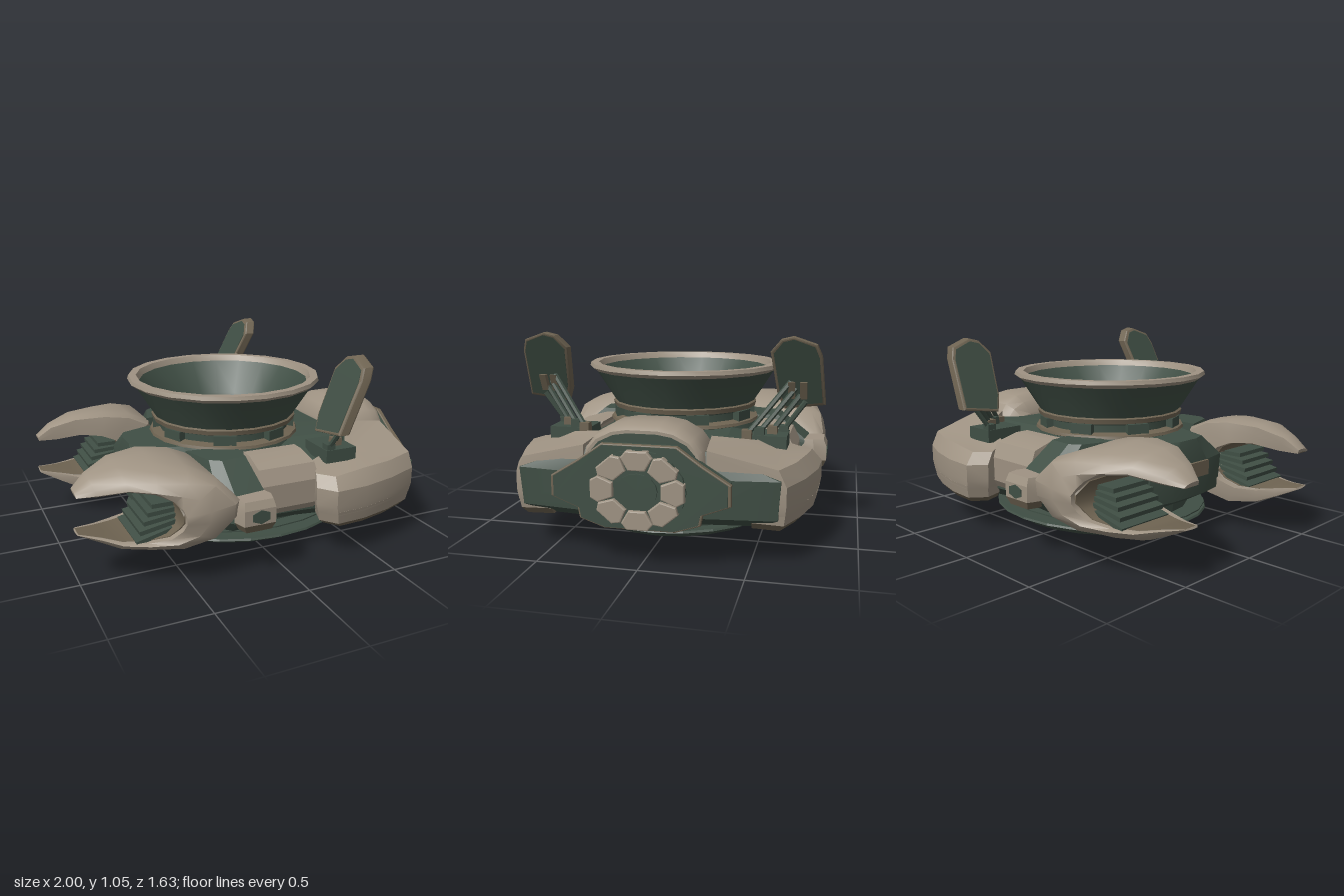
import * as THREE from 'three';
import { toCreasedNormals } from 'three/addons/utils/BufferGeometryUtils.js';

const mat = (name, color) => Object.assign(new THREE.MeshStandardMaterial({ color }), { name });

export function createModel() {
  const model = new THREE.Group();
  model.name = 'crabShip';
  const green = mat('dark green', 0x404f45);
  const tan = mat('tan armour', 0x9f9383);
  const brown = mat('worn brown', 0x6f6452);

  const add = (parent, name, geo, material, crease = 0.35) => {
    const mesh = new THREE.Mesh(toCreasedNormals(geo, crease), material);
    mesh.name = name;
    parent.add(mesh);
    return mesh;
  };

  // Closed solid from loops with equal point counts, oriented outwards
  const loft = (rings) => {
    const n = rings[0].length, tris = [];
    const mid = (r) => r.reduce((s, p) => s.add(p), new THREE.Vector3()).divideScalar(n);
    const first = rings[0], last = rings[rings.length - 1], c0 = mid(first), c1 = mid(last);
    for (let i = 0; i < n; i++) {
      const j = (i + 1) % n;
      tris.push([c0, first[j], first[i]], [c1, last[i], last[j]]);
      for (let k = 0; k + 1 < rings.length; k++) {
        const a = rings[k], b = rings[k + 1];
        tris.push([a[i], a[j], b[j]], [a[i], b[j], b[i]]);
      }
    }
    const centre = c0.clone().add(c1).divideScalar(2);
    let volume = 0;
    for (const [a, b, c] of tris) {
      const [p, q, r] = [a, b, c].map((v) => v.clone().sub(centre));
      volume += p.dot(q.cross(r));
    }
    const out = [];
    for (const [a, b, c] of tris) for (const p of volume < 0 ? [a, c, b] : [a, b, c]) out.push(p.x, p.y, p.z);
    const geo = new THREE.BufferGeometry();
    geo.setAttribute('position', new THREE.Float32BufferAttribute(out, 3));
    geo.computeVertexNormals();
    return geo;
  };
  // Plan outline [x, z] at height y, scaled about (cx, cz)
  const ring = (pts, y, sx = 1, sz = 1, cx = 0, cz = 0) => pts.map(([px, pz]) => {
    const x = cx + (px - cx) * sx, z = cz + (pz - cz) * sz;
    return new THREE.Vector3(x, typeof y === 'function' ? y(x, z) : y, z);
  });
  // Outline [z, y] extruded along x
  const plateX = (pts, x, depth, bevel = 0) => {
    const shape = new THREE.Shape(pts.map(([z, y]) => new THREE.Vector2(-z, y)));
    return new THREE.ExtrudeGeometry(shape, {
      depth: depth - 2 * bevel, bevelEnabled: bevel > 0, bevelSize: bevel, bevelOffset: -bevel,
      bevelThickness: bevel, bevelSegments: 2,
    }).rotateY(Math.PI / 2).translate(x + bevel, 0, 0);
  };
  const box = (w, h, d, x, y, z) => new THREE.BoxGeometry(w, h, d).translate(x, y, z);
  const lathe = (pts, sides) => new THREE.LatheGeometry(pts.map((p) => new THREE.Vector2(...p)), sides);
  const both = (pts) => [...pts, ...pts.map(([a, b]) => [-a, b]).reverse()];
  const rod = (parent, name, a, b, r, material) => {
    const A = new THREE.Vector3(...a), d = new THREE.Vector3(...b).sub(A);
    const m = add(parent, name, new THREE.CylinderGeometry(r, r, d.length(), 6), material);
    m.position.copy(A).addScaledVector(d, 0.5);
    m.quaternion.setFromUnitVectors(new THREE.Vector3(0, 1, 0), d.normalize());
  };

  // Central hull
  const half = [[-0.62, 0.13], [-0.59, 0.29], [-0.3, 0.5], [-0.1, 0.6], [0.2, 0.62], [0.45, 0.66], [0.85, 0.64], [0.89, 0.3]];
  const plan = [...half, ...half.map(([x, z]) => [x, -z]).reverse()];
  add(model, 'hull', loft([ring(plan, 0.16, 0.82, 0.82, 0.15), ring(plan, 0.23, 0.985, 0.98, 0.15),
    ring(plan, 0.42), ring(plan, 0.54, 0.97, 0.5, 0.15)]), green);
  add(model, 'noseTrim', box(0.03, 0.08, 0.26, -0.62, 0.38, 0), brown);

  // Floating dish and thin ring under the hull
  const underside = (name, pts, rx, rz, cx) =>
    add(model, name, lathe(pts, 24).scale(rx, 1, rz).translate(cx, 0, 0), green, 0.2);
  underside('bellyDish', [[0, 0], [0.69, 0], [0.85, 0.035], [0.89, 0.06], [1, 0.085], [0.99, 0.095], [0.9, 0.09], [0, 0.09]], 0.655, 0.58, 0.07);
  underside('bellyRing', [[0, 0.117], [1, 0.117], [1, 0.124], [0, 0.126]], 0.66, 0.53, 0.07);
  underside('bellyCollar', [[0, 0.12], [0.98, 0.12], [1, 0.19], [0, 0.19]], 0.61, 0.46, 0.105);

  // Bowl, its rim, neck and clamps
  const bowl = new THREE.Group();
  bowl.name = 'bowl';
  bowl.position.x = -0.012;
  model.add(bowl);
  add(bowl, 'bowlWall', lathe([[0.38, 0.61], [0.4, 0.65], [0.52, 0.84], [0.485, 0.845], [0.34, 0.66], [0.33, 0.64],
    [0.3, 0.64], [0.29, 0.62], [0.24, 0.62], [0.23, 0.6], [0, 0.6]], 20), green);
  add(bowl, 'bowlRim', lathe([[0.515, 0.825], [0.541, 0.845], [0.535, 0.865], [0.492, 0.865], [0.475, 0.832], [0.515, 0.825]], 20), tan);
  add(bowl, 'bowlFootRing', lathe([[0.36, 0.62], [0.405, 0.62], [0.412, 0.645], [0.4, 0.652]], 20), brown);
  add(bowl, 'neck', lathe([[0.42, 0.5], [0.4, 0.56], [0.37, 0.57], [0.37, 0.63]], 20), green);
  add(bowl, 'neckTrim', lathe([[0.41, 0.54], [0.425, 0.545], [0.42, 0.56], [0.37, 0.57]], 20), brown);
  add(bowl, 'floorDisc', new THREE.CylinderGeometry(0.135, 0.135, 0.008, 16).translate(0.01, 0.604, 0), brown);
  for (let i = 0; i < 8; i++) {
    add(bowl, 'neckClamp', box(0.05, 0.06, 0.12, 0.375, 0.585, 0).rotateY((i + 0.5) * Math.PI / 4), green);
  }

  // Everything that sits on one side, built for +z
  const side = new THREE.Group();
  side.name = 'leftSide';
  model.add(side);

  // Rear shoulder armour, sloping outwards, with a worn lower edge
  const shoulder = [[0.24, 0.6], [0.2, 0.71], [0.27, 0.8], [0.45, 0.79], [0.65, 0.74], [0.835, 0.665], [0.872, 0.3], [0.64, 0.28], [0.5, 0.5]];
  const deck = (x, z) => 0.7 - 0.26 * z - 0.08 * x - 0.4 * Math.max(0, 0.36 - x);
  add(side, 'shoulderArmour', loft([ring(shoulder, 0.25, 0.96, 0.97, 0.6, 0.5),
    ring(shoulder, 0.3), ring(shoulder, 0.39), ring(shoulder, deck, 0.97, 0.9, 0.75, 0.28)]), tan);
  const skirtPlan = [...shoulder.slice(0, 6), [0.82, 0.5], [0.5, 0.5]];
  const skirt = (y, sx, sz) => ring(skirtPlan, y, sx, sz, 0.57, 0.5);
  add(side, 'shoulderSkirt', loft([skirt(0.2, 0.92, 0.93), skirt(0.27, 0.97, 0.985)]), tan);
  add(side, 'shoulderLowerEdge', loft([skirt(0.165, 0.8, 0.8), skirt(0.2, 0.92, 0.93)]), brown);

  // Flank plate between shoulder and claw arm
  const flank = [[-0.1, 0.45], [-0.1, 0.64], [0.24, 0.64], [0.24, 0.45]];
  add(side, 'flankArmour', loft([ring(flank, 0.25, 0.95, 0.93, 0.07, 0.45), ring(flank, 0.29, 1, 1.08, 0.07, 0.45),
    ring(flank, 0.42, 1, 1.1, 0.07, 0.45), ring(flank, 0.5, 0.95, 0.9, 0.07, 0.45), ring(flank, 0.535, 0.9, 0.4, 0.07, 0.4)]), tan);

  // Arm holding the claw
  const arm = [[-0.4, 0.3], [-0.33, 0.65], [-0.26, 0.73], [-0.09, 0.71], [-0.06, 0.35]];
  add(side, 'clawArm', loft([ring(arm, 0.22, 0.9, 0.82, -0.2, 0.4), ring(arm, 0.28), ring(arm, 0.4),
    ring(arm, 0.55, 0.8, 0.5, -0.25, 0.35)]), green);
  const joint = [[-0.25, 0.66], [-0.28, 0.74], [-0.26, 0.812], [-0.09, 0.812], [-0.07, 0.74], [-0.09, 0.66]];
  add(side, 'armJoint', loft([ring(joint, 0.3), ring(joint, 0.38), ring(joint, 0.42, 0.9, 0.85, -0.17, 0.7)]), tan);
  add(side, 'jointLowerEdge', loft([ring(joint, 0.26, 0.8, 0.85, -0.17, 0.7), ring(joint, 0.3)]), brown);
  add(side, 'jointPlate', new THREE.CylinderGeometry(0.045, 0.045, 0.008, 6).rotateX(Math.PI / 2).scale(1.2, 0.8, 1)
    .translate(-0.17, 0.34, 0.812), green);

  // Claw: sections swept from upper tip, round the back, to lower tip
  const outer = [[-1, 0.485], [-0.93, 0.55], [-0.8, 0.6], [-0.63, 0.612], [-0.48, 0.59], [-0.36, 0.535], [-0.25, 0.42],
    [-0.26, 0.34], [-0.36, 0.24], [-0.5, 0.175], [-0.65, 0.15], [-0.8, 0.17], [-0.9, 0.215], [-1, 0.265]];
  const inner = [[-0.995, 0.463], [-0.9, 0.47], [-0.77, 0.5], [-0.66, 0.49], [-0.58, 0.455], [-0.55, 0.42], [-0.54, 0.39],
    [-0.54, 0.35], [-0.55, 0.31], [-0.6, 0.27], [-0.7, 0.245], [-0.81, 0.245], [-0.89, 0.258], [-0.995, 0.275]];
  const lerpTable = (t, x) => {
    let i = 0;
    while (i < t.length - 2 && x > t[i + 1][0]) i++;
    return THREE.MathUtils.mapLinear(x, t[i][0], t[i + 1][0], t[i][1], t[i + 1][1]);
  };
  const zNear = [[-1, 0.42], [-0.72, 0.28], [-0.36, 0.27], [-0.25, 0.46]];
  const zFar = [[-1, 0.52], [-0.9, 0.58], [-0.8, 0.645], [-0.5, 0.755], [-0.25, 0.795]];
  // Section points are [u across the jaw, w along z], both 0 to 1
  const sweepClaw = (sectionAt) => loft(outer.map(([ox, oy], k) => {
    const [ix, iy] = inner[k], z0 = lerpTable(zNear, ox), z1 = lerpTable(zFar, ox);
    return sectionAt(k).map(([u, w]) => new THREE.Vector3(ix + (ox - ix) * u, iy + (oy - iy) * u, z0 + (z1 - z0) * w));
  }));
  // Jaws fall away to the outside; the root of the claw is fuller
  const domed = [[0, 0], [0.5, 0], [0.9, 0.02], [1, 0.15], [1, 0.35], [0.9, 0.6], [0.7, 0.8], [0.4, 0.94], [0.1, 1], [0, 0.95], [0, 0.6], [0, 0.3]];
  const full = [[0, 0], [0.5, 0], [0.9, 0.02], [1, 0.1], [1, 0.35], [1, 0.65], [0.98, 0.86], [0.85, 0.97], [0.4, 1], [0, 0.95], [0, 0.6], [0, 0.3]];
  add(side, 'claw', sweepClaw((k) => {
    const t = THREE.MathUtils.clamp(3.5 - Math.abs(k - 6.5), 0, 2) / 2;
    return domed.map(([u, w], i) => [u + (full[i][0] - u) * t, w + (full[i][1] - w) * t]);
  }), tan, 0.8);
  add(side, 'clawLining', sweepClaw(() => [[-0.03, 0.1], [0.2, 0.06], [0.2, 0.9], [-0.03, 0.88]]), brown, 0.8);
  // Ribs inside the claw's mouth, fanned and longer towards the lower jaw
  for (let i = 0; i < 5; i++) {
    const length = 0.24 - i * 0.025;
    const rib = add(side, 'clawRib', box(length, 0.022, 0.32 - i * 0.02, -length / 2, 0, 0), green);
    rib.position.set(-0.52, 0.3 + i * 0.026, 0.5);
    rib.rotation.z = 0.24 - i * 0.06;
  }

  // Raised panel on struts
  const lean = (geo) => {
    const p = geo.attributes.position;
    for (let i = 0; i < p.count; i++) p.setX(i, p.getX(i) + (p.getY(i) - 0.66) * 0.48);
    return geo;
  };
  const outline = [[0.81, 0.69], [0.79, 0.95], [0.765, 1.01], [0.65, 1.05], [0.59, 1.035], [0.535, 0.97], [0.565, 0.74], [0.6, 0.66]];
  const inset = outline.map(([z, y]) => [0.675 + (z - 0.675) * 0.88, 0.86 + (y - 0.86) * 0.92]);
  add(side, 'panelFrame', lean(plateX(outline, 0.235, 0.065, 0.01)), brown);
  add(side, 'panelBackFace', lean(plateX(inset, 0.297, 0.006)), green);
  add(side, 'panelFrontFace', lean(plateX(inset, 0.232, 0.006)), green);
  for (const z of [0.64, 0.7]) add(side, 'panelBracket', lean(box(0.04, 0.09, 0.035, 0.315, 0.77, z)), brown);
  add(side, 'strutBase', box(0.18, 0.07, 0.22, 0.39, 0.515, 0.52), green);
  const feet = [[0.33, 0.555, 0.6], [0.4, 0.565, 0.55], [0.45, 0.565, 0.49], [0.48, 0.555, 0.43]];
  feet.forEach((f, i) => {
    rod(side, 'strut', f, [0.345 + i * 0.012, 0.71 + i * 0.035, 0.71 - i * 0.025], 0.014, green);
    add(side, 'strutFoot', box(0.05, 0.05, 0.05, ...f), i % 2 ? brown : green);
  });

  const mirrored = side.clone();
  mirrored.name = 'rightSide';
  mirrored.scale.z = -1;
  model.add(mirrored);

  // Rear hump, swept along x, with a dark end face
  const arch = both([[0.3, 0.48], [0.285, 0.55], [0.24, 0.61], [0.16, 0.655], [0.08, 0.67]]);
  const archAt = (s, h) => arch.map(([z, y]) => [z * s, 0.48 + (y - 0.48) * h]);
  const humpSteps = [[0.56, 0.8, 0.4], [0.6, 0.93, 0.78], [0.66, 1, 0.98], [0.82, 1, 1], [0.875, 0.98, 0.94], [0.9, 0.93, 0.84]];
  add(model, 'rearHump', loft(humpSteps.map(([x, s, h]) => archAt(s, h).map(([z, y]) => new THREE.Vector3(x, y, z)))), tan, 0.6);
  add(model, 'humpEndFace', plateX(archAt(0.88, 0.76), 0.896, 0.008), green);

  // Thruster plate
  const plate = both([[0.17, 0.18], [0.29, 0.22], [0.3, 0.27], [0.43, 0.32], [0.43, 0.42], [0.3, 0.5], [0.18, 0.585]]);
  const plateAt = (s) => plate.map(([z, y]) => [z * s, 0.38 + (y - 0.38) * s]);
  add(model, 'thrusterPlate', plateX(plateAt(0.98), 0.885, 0.05), green);
  add(model, 'thrusterPlateEdge', plateX(plate, 0.93, 0.03, 0.006), brown);
  add(model, 'thrusterPlateFace', plateX(plateAt(0.965), 0.957, 0.008), green);

  // Thruster wheel: slightly wide ring of separate blocks round a recessed hub
  const wheel = new THREE.Group();
  wheel.name = 'thrusterWheel';
  wheel.position.y = 0.378;
  wheel.scale.z = 1.2;
  model.add(wheel);
  const disc = (r, depth, x) => new THREE.CylinderGeometry(r, r, depth, 16).rotateZ(Math.PI / 2).translate(x, 0, 0);
  add(wheel, 'thrusterDisc', disc(0.19, 0.03, 0.965), green);
  add(wheel, 'thrusterHub', disc(0.08, 0.02, 0.98), green);
  const block = [[-0.034, 0.095], [0.034, 0.095], [0.063, 0.155], [0.042, 0.186], [-0.042, 0.186], [-0.063, 0.155]];
  for (let i = 0; i < 8; i++) {
    add(wheel, 'thrusterBlock', plateX(block, 0.95, 0.05, 0.006).rotateX(i * Math.PI / 4), tan);
  }
  return model;
}
